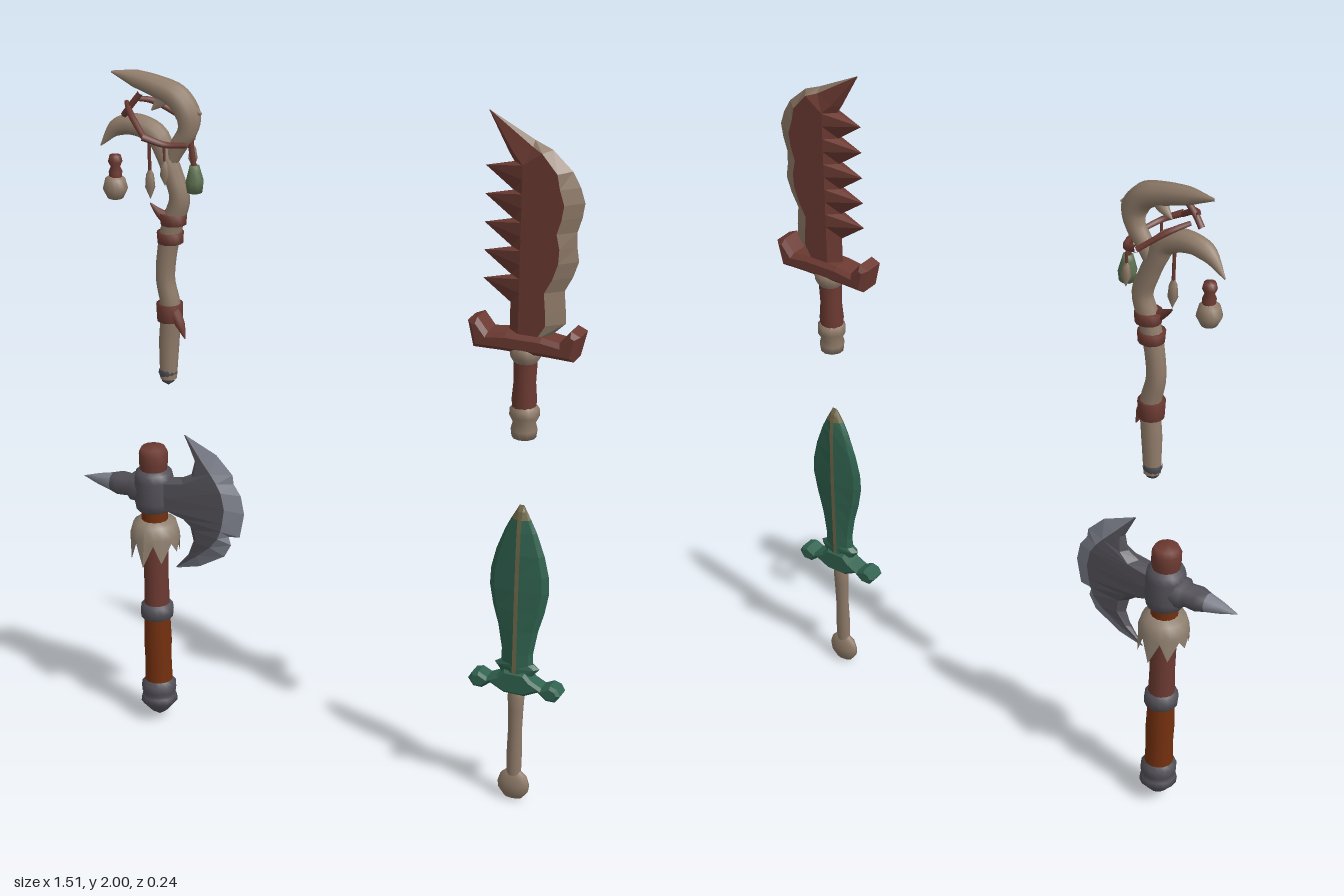
import * as THREE from 'three';

const paint = (name, color) => Object.assign(new THREE.MeshStandardMaterial({ color }), { name });

export function createModel() {
  const bone = paint('bone', 0x8f7b69), red = paint('red leather', 0x6c3a32), orange = paint('orange grip', 0x73300f);
  const iron = paint('dark iron', 0x535158), steel = paint('bright steel', 0x7f828e), green = paint('green bronze', 0x30624f);
  const olive = paint('worn bronze', 0x71694a), moss = paint('moss', 0x5d7050), fur = paint('fur', 0x8f8070);
  fur.side = THREE.DoubleSide;

  const model = new THREE.Group();
  model.name = 'weaponSet';
  const section = (name) => {
    const g = new THREE.Group();
    g.name = name;
    model.add(g);
    return g;
  };
  const add = (parent, name, geo, mat) => {
    const m = new THREE.Mesh(geo, mat);
    m.name = name;
    parent.add(m);
    return m;
  };

  // turned part: profile of [radius, y] from bottom to top
  const turn = (parent, name, mat, profile, x = 0, z = 0, sides = 14) => {
    const m = add(parent, name, new THREE.LatheGeometry(profile.map(([r, y]) => new THREE.Vector2(r, y)), sides), mat);
    m.position.set(x, 0, z);
    return m;
  };

  // tapering round limb through [x, y, z, radius]
  const limb = (parent, name, mat, pts, sides = 10) => {
    const curve = new THREE.CatmullRomCurve3(pts.map(p => new THREE.Vector3(p[0], p[1], p[2])));
    const n = pts.length * 5;
    const geo = new THREE.TubeGeometry(curve, n, 1, sides);
    const pos = geo.attributes.position, v = new THREE.Vector3();
    for (let i = 0; i <= n; i++) {
      const c = curve.getPointAt(i / n), t = curve.getUtoTmapping(i / n) * (pts.length - 1);
      const k = Math.min(Math.floor(t), pts.length - 2);
      const r = THREE.MathUtils.lerp(pts[k][3], pts[k + 1][3], t - k);
      for (let j = 0; j <= sides; j++) {
        const id = i * (sides + 1) + j;
        v.fromBufferAttribute(pos, id).sub(c).multiplyScalar(r).add(c);
        pos.setXYZ(id, v.x, v.y, v.z);
      }
    }
    return add(parent, name, geo, mat);
  };

  // two-sided blade: rows from bottom to top, each of [x, y, half thickness] from -x to +x
  const blade = (parent, name, mats, rows) => {
    const pos = [], geo = new THREE.BufferGeometry();
    for (let j = 0; j < mats.length; j++) {
      const start = pos.length / 3;
      for (let i = 0; i < rows.length - 1; i++) {
        const q = [rows[i][j], rows[i][j + 1], rows[i + 1][j + 1], rows[i + 1][j]];
        for (const k of [0, 1, 2, 0, 2, 3]) pos.push(q[k][0], q[k][1], q[k][2]);
        for (const k of [0, 2, 1, 0, 3, 2]) pos.push(q[k][0], q[k][1], -q[k][2]);
      }
      geo.addGroup(start, pos.length / 3 - start, j);
    }
    geo.setAttribute('position', new THREE.Float32BufferAttribute(pos, 3));
    geo.computeVertexNormals();
    return add(parent, name, geo, mats);
  };

  // bevelled slab from half an outline, mirrored about x = cx
  const guard = (parent, name, mat, half, cx, depth, bevel) => {
    const pts = [...half.map(([x, y]) => new THREE.Vector2(cx + x, y)),
      ...half.slice().reverse().map(([x, y]) => new THREE.Vector2(cx - x, y))];
    const geo = new THREE.ExtrudeGeometry(new THREE.Shape(pts), { depth: depth - 2 * bevel, bevelThickness: bevel,
      bevelSize: bevel, bevelOffset: -bevel, bevelSegments: 1 });
    geo.translate(0, 0, -depth / 2 + bevel);
    return add(parent, name, geo, mat);
  };

  // ---- crooked staff ----
  const staff = section('staff');
  limb(staff, 'shaft', bone, [[-.472, 1.1, 0, .024], [-.467, 1.21, 0, .029], [-.46, 1.315, 0, .029], [-.474, 1.395, 0, .027],
    [-.467, 1.475, 0, .028], [-.447, 1.565, 0, .03], [-.425, 1.635, 0, .029], [-.443, 1.7, 0, .028], [-.465, 1.755, 0, .028],
    [-.49, 1.805, 0, .033], [-.55, 1.828, 0, .031], [-.61, 1.815, 0, .026], [-.665, 1.755, 0, .002]]);
  limb(staff, 'upperHook', bone, [[-.455, 1.73, 0, .02], [-.425, 1.785, 0, .024], [-.397, 1.83, 0, .027], [-.394, 1.875, 0, .036],
    [-.425, 1.92, 0, .036], [-.485, 1.943, 0, .031], [-.555, 1.958, 0, .024], [-.625, 1.968, 0, .003]]);
  limb(staff, 'hookSpur', bone, [[-.42, 1.90, 0, .025], [-.38, 1.89, 0, .02], [-.352, 1.882, 0, .002]]);
  limb(staff, 'innerSpur', bone, [[-.46, 1.93, 0, .025], [-.48, 1.9, 0, .016], [-.505, 1.875, 0, .002]]);
  turn(staff, 'footTip', iron, [[0, 1.078], [.017, 1.09], [.027, 1.118], [.025, 1.128]], -.473);
  for (const [x, y, h] of [[-.445, 1.575, .03], [-.456, 1.52, .03], [-.463, 1.3, .05]]) {
    turn(staff, 'leatherWrap', red, [[.026, y - h / 2], [.036, y - h / 2], [.038, y + h / 2], [.026, y + h / 2]], x);
  }
  limb(staff, 'wrapFlap', red, [[-.445, 1.31, .01, .018], [-.425, 1.27, .012, .014], [-.412, 1.23, .01, .002]]);
  limb(staff, 'wrapFlap', red, [[-.46, 1.575, .01, .02], [-.485, 1.59, .01, .012], [-.512, 1.612, .008, .002]]);
  limb(staff, 'headCord', red, [[-.575, 1.86, .028, .009], [-.555, 1.885, .034, .009], [-.52, 1.93, .032, .009]], 6);
  for (const s of [1, -1]) {
    // bowed side sticks with a hanging charm
    limb(staff, 'rearStick', red, [[-.57, 1.895, s * .02, .007], [-.535, 1.88, s * .065, .009], [-.47, 1.83, s * .11, .008]], 6);
    limb(staff, 'frontStick', red, [[-.475, 1.835, s * .113, .011], [-.425, 1.812, s * .085, .009], [-.393, 1.795, s * .02, .008]], 6);
    limb(staff, 'charmCord', red, [[-.425, 1.81, s * .083, .004], [-.425, 1.765, s * .083, .004]], 5);
    turn(staff, 'charm', bone, [[0, 1.695], [.013, 1.725], [.009, 1.755], [0, 1.77]], -.425, s * .083, 6);
  }
  limb(staff, 'charmCord', red, [[-.515, 1.8, 0, .005], [-.515, 1.7, 0, .005]], 5);
  turn(staff, 'charm', bone, [[0, 1.62], [.014, 1.655], [.011, 1.69], [0, 1.715]], -.515, 0, 6);
  limb(staff, 'pouchCord', red, [[-.39, 1.81, 0, .009], [-.378, 1.725, 0, .007]], 6);
  turn(staff, 'pouch', moss, [[0, 1.655], [.022, 1.66], [.026, 1.69], [.018, 1.72], [.014, 1.735], [0, 1.735]], -.378, 0, 8);
  turn(staff, 'rattle', bone, [[0, 1.602], [.022, 1.61], [.035, 1.637], [.028, 1.665], [.014, 1.675], [0, 1.676]], -.624);
  turn(staff, 'rattleCap', red, [[.017, 1.665], [.019, 1.685], [.013, 1.7], [.02, 1.715], [.016, 1.732], [0, 1.735]], -.622);

  // ---- serrated cleaver ----
  const cleaver = section('cleaver');
  const back = [[.66, 1.41], [.7, 1.45], [.699, 1.485], [.694, 1.54], [.715, 1.58], [.73, 1.625], [.724, 1.665], [.723, 1.705],
    [.735, 1.745], [.741, 1.785], [.728, 1.825], [.705, 1.865], [.65, 1.915]];
  const rows = back.map(([x, y], i) => {
    const tooth = i > 1 && i % 2 === 1;
    const leftY = 1.41 + i * .0385;
    const inner = x - .047 + (i === 6 ? .008 : 0) + (i > 10 ? .015 : 0);
    return [[tooth ? .467 : .545, leftY + (tooth ? .018 : 0), 0], [.578, leftY, .028], [Math.max(inner, .63), y - .005, .028], [x, y, 0]];
  });
  rows.push([[.53, 1.895, 0], [.55, 1.9, .02], [.6, 1.92, .014], [.6, 1.936, 0]],
    [[.472, 2, 0], [.473, 2, 0], [.474, 2, 0], [.476, 1.999, 0]]);
  blade(cleaver, 'serratedBlade', [red, red, bone], rows);
  guard(cleaver, 'crossGuard', red, [[.065, 1.36], [.14, 1.358], [.157, 1.43], [.13, 1.442], [.1, 1.405], [.05, 1.412]], .595, .08, .012);
  turn(cleaver, 'collar', bone, [[.03, 1.325], [.042, 1.345], [.044, 1.37], [.03, 1.375]], .592);
  turn(cleaver, 'grip', red, [[.031, 1.18], [.034, 1.22], [.03, 1.27], [.033, 1.345]], .592);
  turn(cleaver, 'pommel', bone, [[0, 1.11], [.033, 1.113], [.036, 1.135], [.031, 1.155], [.041, 1.175], [.04, 1.195], [.03, 1.205]], .594, 0, 10);

  // ---- battle axe ----
  const axe = section('axe'), ax = -.527;
  turn(axe, 'shaftTop', red, [[.036, .79], [.042, .83], [.042, .86], [.034, .877], [0, .88]], ax);
  turn(axe, 'headSocket', iron, [[.036, .68], [.052, .688], [.057, .715], [.057, .78], [.052, .803], [.036, .812]], ax);
  turn(axe, 'upperBand', orange, [[.039, .62], [.039, .69]], ax);
  turn(axe, 'shaft', red, [[.038, .36], [.036, .46], [.039, .63]], ax);
  turn(axe, 'midRing', iron, [[.036, .335], [.047, .342], [.049, .36], [.047, .378], [.036, .386]], ax);
  turn(axe, 'grip', orange, [[.041, .12], [.039, .2], [.041, .26], [.038, .345]], ax);
  turn(axe, 'buttCap', iron, [[0, .014], [.025, .032], [.054, .065], [.05, .082], [.044, .088], [.051, .1], [.051, .122], [.038, .138]], ax);
  const skirt = turn(axe, 'furCollar', fur, [[.072, .575], [.072, .61], [.062, .645], [.037, .655]], ax, 0, 16);
  const sp = skirt.geometry.attributes.position;
  // pull every other hem corner down into a point
  for (let i = 0; i <= 16; i++) {
    const front = Math.abs(Math.cos(i * Math.PI / 8));
    if (i % 2 === 0) sp.setXYZ(i * 4, sp.getX(i * 4) * .95, .56 - .03 * front, sp.getZ(i * 4) * 1.12);
    else sp.setY(i * 4, .595);
  }
  skirt.geometry.computeVertexNormals();
  const spike = (name, mat, profile) => {
    const m = turn(axe, name, mat, profile, -.56, 0, 8);
    m.position.y = .745;
    m.rotation.z = Math.PI / 2;
  };
  spike('spikeBase', iron, [[.045, 0], [.044, .03], [.034, .04], [.036, .075], [.028, .1]]);
  spike('spikeTip', steel, [[.028, .1], [.017, .145], [0, .197]]);
  blade(axe, 'crescentBlade', [iron, iron, steel], [
    [[-.462, .51, 0], [-.46, .511, 0], [-.459, .511, 0], [-.457, .509, 0]],
    [[-.42, .56, 0], [-.41, .565, .012], [-.385, .567, .016], [-.385, .528, 0]],
    [[-.403, .605, 0], [-.385, .61, .02], [-.34, .606, .024], [-.305, .575, 0]],
    [[-.413, .65, 0], [-.39, .65, .022], [-.313, .64, .028], [-.283, .615, 0]],
    [[-.44, .672, 0], [-.42, .68, .026], [-.303, .665, .028], [-.29, .64, 0]],
    [[-.5, .69, 0], [-.48, .7, .03], [-.297, .69, .028], [-.255, .645, 0]],
    [[-.5, .74, .03], [-.48, .74, .032], [-.29, .735, .028], [-.24, .72, 0]],
    [[-.5, .79, 0], [-.48, .78, .03], [-.3, .785, .028], [-.25, .775, 0]],
    [[-.44, .796, 0], [-.42, .79, .026], [-.315, .81, .026], [-.272, .808, 0]],
    [[-.405, .815, 0], [-.39, .815, .02], [-.335, .835, .022], [-.275, .835, 0]],
    [[-.393, .86, 0], [-.385, .86, .014], [-.365, .867, .016], [-.325, .888, 0]],
    [[-.427, .932, 0], [-.425, .932, 0], [-.424, .932, 0], [-.42, .931, 0]]]);

  // ---- leaf-bladed sword ----
  const sword = section('sword'), sx = .595;
  // symmetrical row: [half width, y, thickness]
  const leaf = ([w, y, h]) => [[sx - w, y, 0], [sx - w * .8, y, h * .55], [sx - .006, y, h], [sx + .006, y, h], [sx + w * .8, y, h * .55], [sx + w, y, 0]];
  blade(sword, 'leafBlade', [green, green, olive, green, green], [[.05, .375, .024], [.045, .4, .025], [.066, .425, .025], [.047, .437, .025],
    [.046, .47, .025], [.058, .54, .025], [.075, .6, .025], [.086, .66, .025], [.084, .71, .024], [.07, .77, .023], [.046, .835, .02], [.028, .872, .016]].map(leaf));
  blade(sword, 'bladeTip', Array(5).fill(olive), [[.028, .872, .016], [.015, .895, .011], [.0065, .912, 0]].map(leaf));
  guard(sword, 'crossGuard', green, [[.03, .345], [.07, .365], [.095, .345], [.12, .345], [.136, .367], [.125, .386], [.105, .392], [.08, .38],
    [.05, .395], [.03, .415]], sx, .056, .008);
  const hilt = new THREE.Group();
  hilt.name = 'hilt';
  hilt.position.x = sx;
  hilt.scale.z = .8;
  sword.add(hilt);
  turn(hilt, 'grip', bone, [[.021, .08], [.022, .15], [.02, .22], [.022, .29], [.024, .33], [.016, .35]]);
  turn(hilt, 'gripNeck', bone, [[.013, .33], [.013, .36]]);
  turn(hilt, 'pommel', bone, [[0, .004], [.027, .01], [.044, .032], [.047, .053], [.039, .078], [.02, .096], [0, .098]]).scale.z = .6;

  return model;
}
